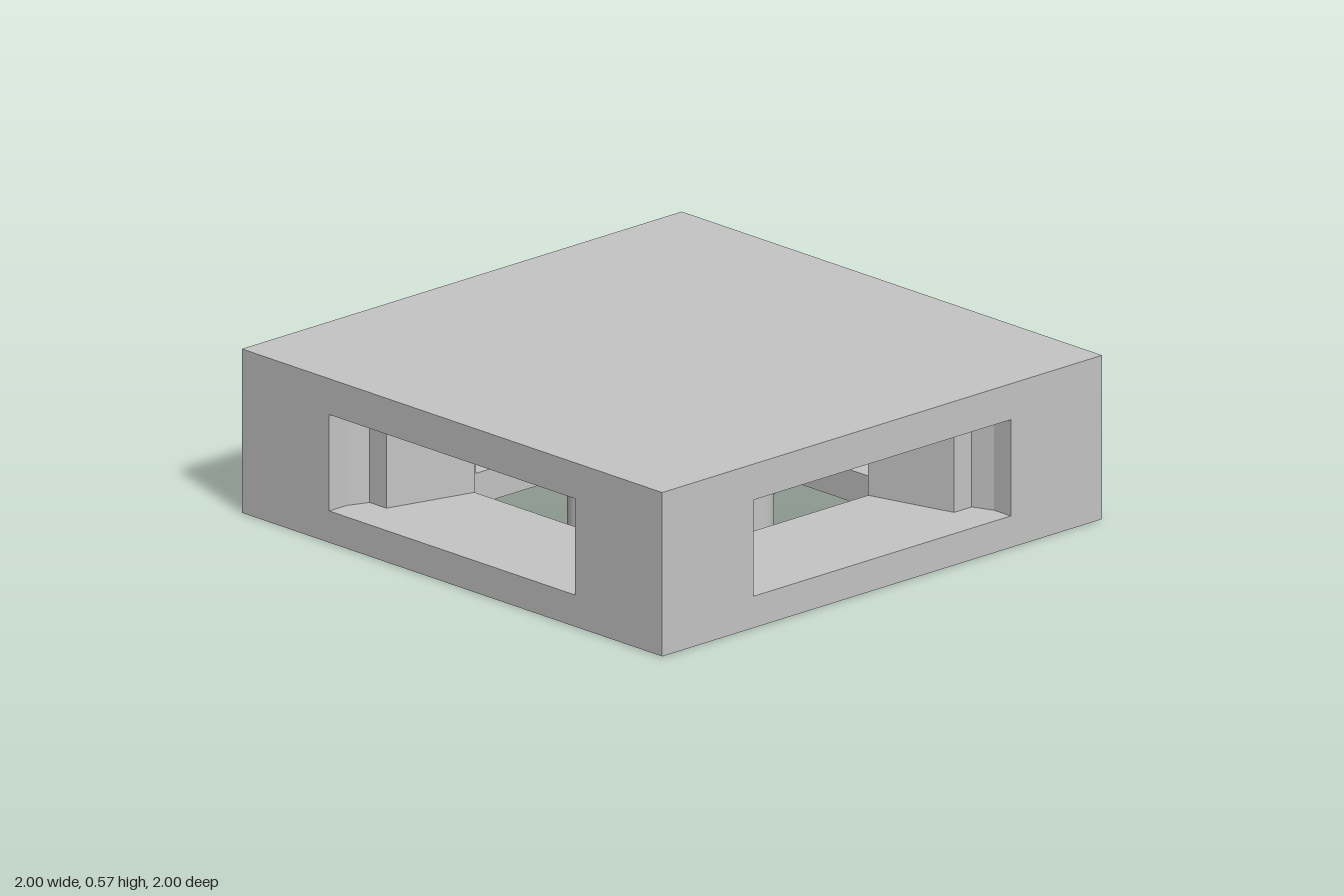
import * as THREE from 'three';

const FLOOR = 0.11, CEILING = 0.445, TOP = 0.57;
const HALF = 0.525, CUT = 0.03; // half width and corner cut of the central well

const toVectors = (pts) => pts.map(([x, y]) => new THREE.Vector2(x, y));

// Extrudes a plan shape upwards from y0 to y1
function slab(shape, y0, y1) {
  const g = new THREE.ExtrudeGeometry(shape, { depth: y1 - y0, bevelEnabled: false });
  g.rotateX(-Math.PI / 2);
  g.translate(0, y0, 0);
  return g;
}

export function createModel() {
  const group = new THREE.Group();
  const grey = new THREE.MeshStandardMaterial({ color: 0xc4c4c4 });
  grey.name = 'light grey';

  const add = (name, geometry, x = 0, y = 0, z = 0) => {
    const mesh = new THREE.Mesh(geometry, grey);
    mesh.name = name;
    mesh.position.set(x, y, z);
    group.add(mesh);
    return mesh;
  };

  // Roof plate
  add('roof', new THREE.BoxGeometry(2, TOP - CEILING, 2), 0, (TOP + CEILING) / 2, 0);

  // Base plate with a square well whose corners are cut
  const base = new THREE.Shape(toVectors([[-1, -1], [1, -1], [1, 1], [-1, 1]]));
  const a = HALF, b = HALF - CUT;
  base.holes.push(new THREE.Path(toVectors([
    [-b, -a], [-a, -b], [-a, b], [-b, a], [b, a], [a, b], [a, -b], [b, -a],
  ])));
  add('base', slab(base, 0, FLOOR));

  // Corner posts, symmetric about the diagonal, with stepped and tapered jambs
  const jamb = [[0.585, 1], [0.585, 0.92], [0.555, 0.845], [0.475, 0.845], [0.39, a], [b, a]];
  const mirrored = jamb.map(([x, y]) => [y, x]).reverse();
  const postGeometry = slab(new THREE.Shape(toVectors([[1, 1], ...jamb, ...mirrored])), FLOOR, CEILING);
  for (let i = 0; i < 4; i++) {
    add('cornerPost', postGeometry).rotation.y = i * Math.PI / 2;
  }

  // Central pillar
  add('centrePillar', new THREE.BoxGeometry(0.316, CEILING, 0.316), 0, CEILING / 2, 0);

  // Four round pegs around the pillar
  const peg = new THREE.CylinderGeometry(0.077, 0.077, CEILING, 48);
  for (let i = 0; i < 4; i++) {
    const t = i * Math.PI / 2;
    add('peg', peg, 0.372 * Math.cos(t), CEILING / 2, 0.372 * Math.sin(t));
  }
  return group;
}
